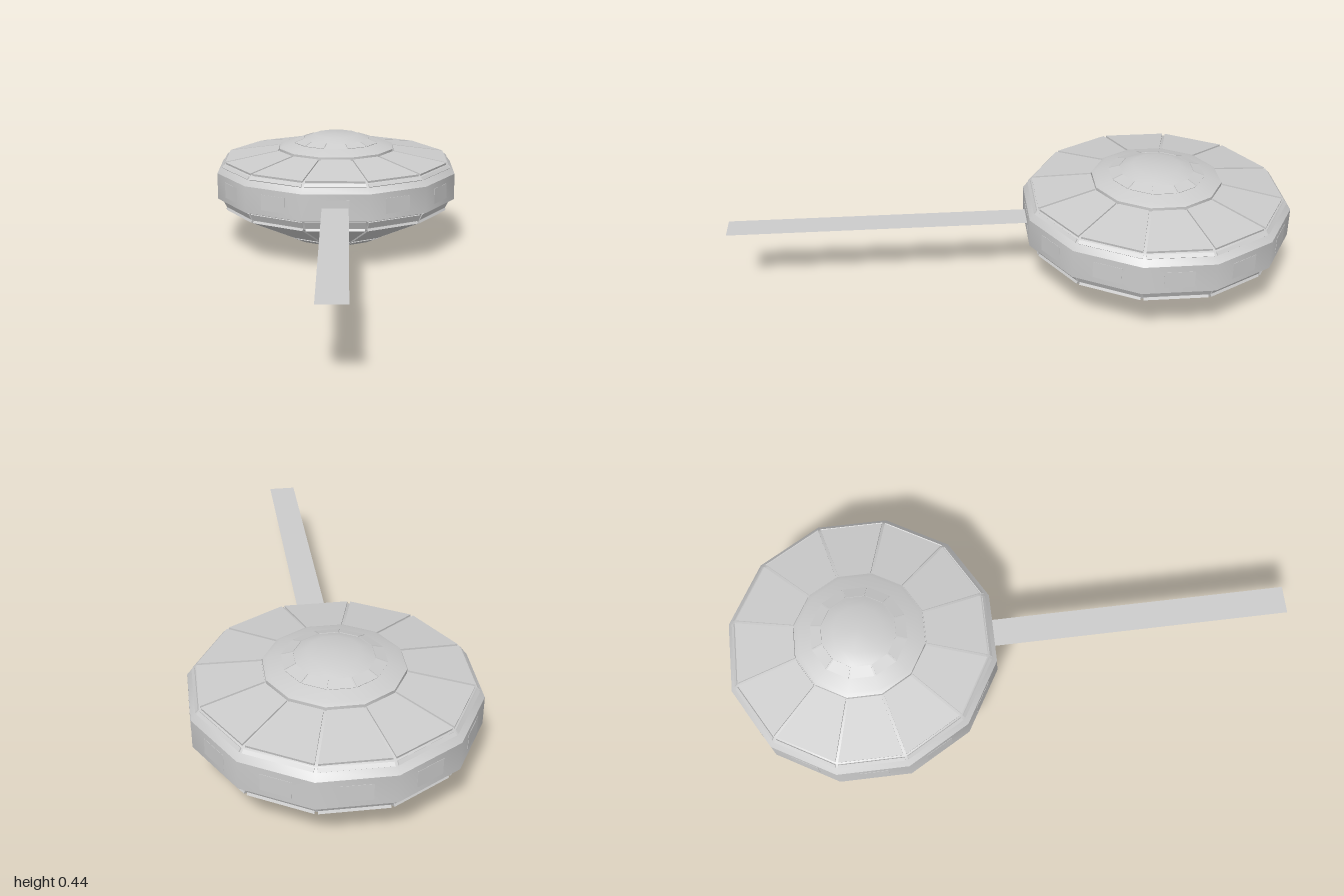
import * as THREE from 'three';
import { toCreasedNormals } from 'three/addons/utils/BufferGeometryUtils.js';

const SIDES = 12;
const HALF = Math.PI / SIDES;
const CENTER_Z = -0.535;
const grey = new THREE.MeshStandardMaterial({ color: 0xcccccc });
const greyThin = new THREE.MeshStandardMaterial({ color: 0xcccccc, side: THREE.DoubleSide });

// Turned body; radii are measured to the middle of each flat side
function turned(name, points, sides) {
  const k = 1 / Math.cos(Math.PI / sides);
  const profile = points.map(([r, y]) => new THREE.Vector2(r * k, y));
  const lathe = new THREE.LatheGeometry(profile, sides, Math.PI / sides);
  const mesh = new THREE.Mesh(toCreasedNormals(lathe, 0.55), grey);
  mesh.name = name;
  return mesh;
}

// Ring of twelve raised plates lying on the slope from (r0, y0) up to (r1, y1)
function plateRing(name, [r0, y0], [r1, y1], raise, halfWidth) {
  const length = Math.hypot(r1 - r0, y1 - y0);
  const w0 = halfWidth(r0), w1 = halfWidth(r1);
  const shape = new THREE.Shape([
    new THREE.Vector2(-w0, 0), new THREE.Vector2(w0, 0),
    new THREE.Vector2(w1, length), new THREE.Vector2(-w1, length),
  ]);
  const sunk = 0.004;
  const geometry = new THREE.ExtrudeGeometry(shape, { depth: raise + sunk, bevelEnabled: false });
  geometry.translate(0, 0, -sunk);
  const u = new THREE.Vector3(1, 0, 0);
  const v = new THREE.Vector3(0, y1 - y0, r1 - r0).normalize();
  const w = new THREE.Vector3().crossVectors(u, v);
  geometry.applyMatrix4(new THREE.Matrix4().makeBasis(u, v, w).setPosition(0, y0, r0));

  const ring = new THREE.Group();
  ring.name = name;
  for (let i = 0; i < SIDES; i++) {
    const plate = new THREE.Mesh(geometry, grey);
    plate.name = name + 'Plate';
    plate.rotation.y = i * 2 * HALF;
    ring.add(plate);
  }
  return ring;
}

export function createModel() {
  const model = new THREE.Group();
  model.name = 'saucer';
  const body = new THREE.Group();
  body.name = 'saucerBody';
  body.position.z = CENTER_Z;
  model.add(body);

  // Twelve-sided hull from belly to dome
  body.add(turned('hull', [
    [0, 0.03], [0.17, 0.03], [0.22, 0.055], [0.222, 0.06], [0.428, 0.161],
    [0.43, 0.168], [0.446, 0.2], [0.467, 0.205], [0.467, 0.308], [0.45, 0.328],
    [0.438, 0.341], [0.43, 0.346], [0.225, 0.381], [0.225, 0.394], [0.21, 0.401],
    [0.165, 0.414], [0.12, 0.43], [0.085, 0.443], [0, 0.443],
  ], SIDES));

  // Plates with a seam along every corner of the hull
  const seamed = (r) => r * Math.tan(HALF) - 0.005;
  body.add(plateRing('bellyRing', [0.174, 0.032], [0.218, 0.054], 0.004, seamed));
  body.add(plateRing('lowerHull', [0.226, 0.062], [0.434, 0.164], 0.006, seamed));
  body.add(plateRing('lowerRim', [0.432, 0.172], [0.444, 0.196], 0.004, seamed));
  body.add(plateRing('upperRim', [0.449, 0.329], [0.44, 0.339], 0.004, seamed));
  body.add(plateRing('roof', [0.435, 0.345], [0.228, 0.3805], 0.006, seamed));
  body.add(plateRing('domeRing', [0.165, 0.414], [0.128, 0.4272], 0.002, (r) => r * Math.tan(HALF) - 0.003));

  // One window in each side of the rim
  body.add(plateRing('window', [0.467, 0.225], [0.467, 0.285], 0.001, () => 0.052));

  // Round emitter under the belly, with a shallow dish
  body.add(turned('emitter', [
    [0, 0.012], [0.025, 0.01], [0.042, 0.004], [0.05, 0], [0.063, 0], [0.08, 0.029],
  ], 24));

  // Long flat beam leaving the front window
  const start = -0.07, end = 1;
  const beam = new THREE.Mesh(new THREE.PlaneGeometry(0.1, end - start), greyThin);
  beam.name = 'beam';
  beam.rotation.x = -Math.PI / 2;
  beam.position.set(0, 0.255, (start + end) / 2);
  model.add(beam);

  return model;
}
